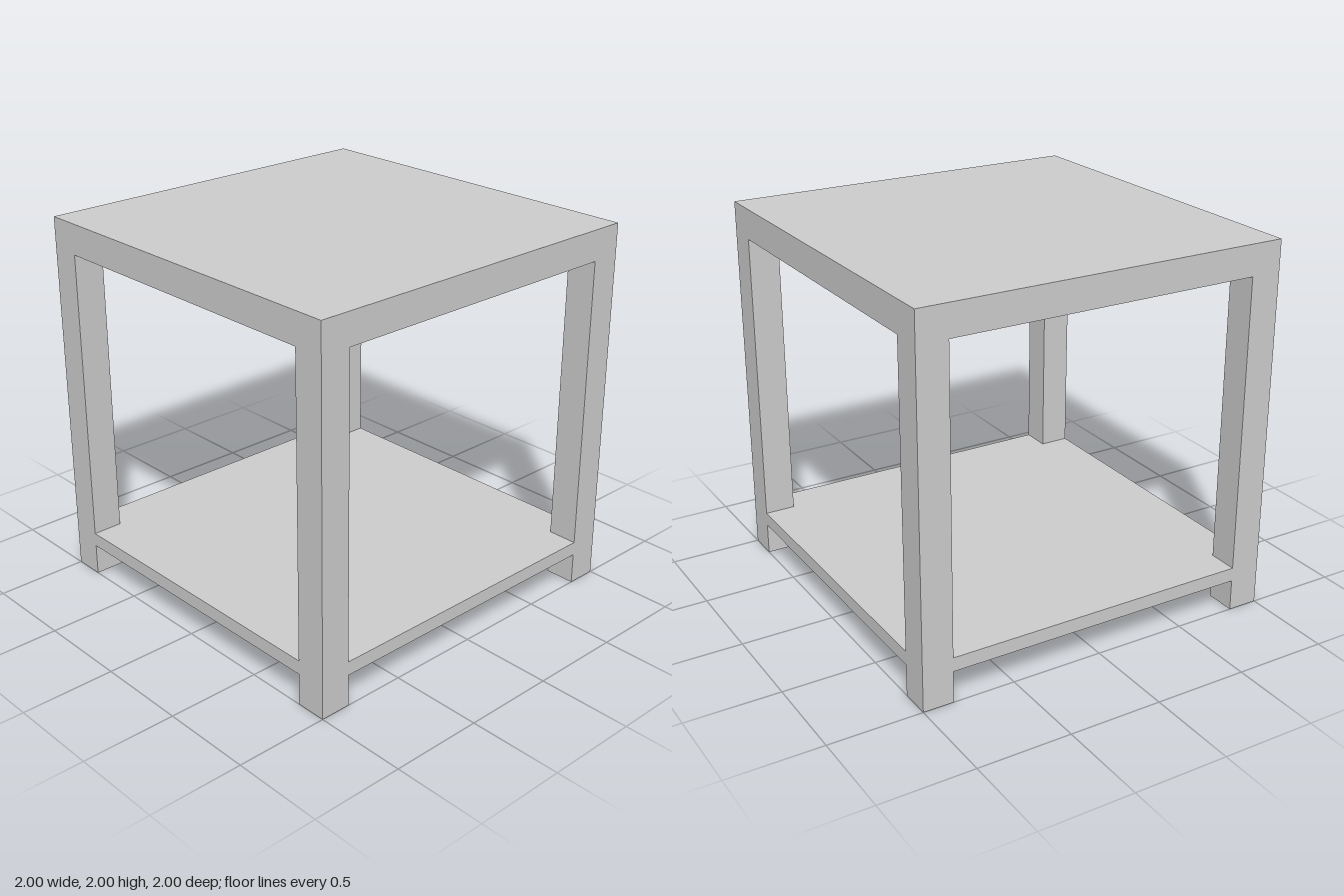
import * as THREE from 'three';

const HALF = 1;        // half of the overall width and depth
const BAR = 0.165;     // leg and apron thickness
const SHEET = 0.006;   // thin boards
const SHELF_LOW = 0.17, SHELF_TOP = 0.245;
const INNER = 2 * (HALF - BAR);

export function createModel() {
  const model = new THREE.Group();
  const material = new THREE.MeshStandardMaterial({ color: 0xcccccc, flatShading: true });

  // Box given by its size, bottom height and centre
  function box(name, parent, w, h, d, x, bottom, z) {
    const mesh = new THREE.Mesh(new THREE.BoxGeometry(w, h, d), material);
    mesh.name = name;
    mesh.position.set(x, bottom + h / 2, z);
    parent.add(mesh);
    return mesh;
  }

  // Four square corner legs
  const c = HALF - BAR / 2;
  for (const x of [-c, c])
    for (const z of [-c, c])
      box(z > 0 ? 'frontLeg' : 'backLeg', model, BAR, 2 - SHEET, BAR, x, 0, z);

  // Thin table top over a deep apron that is open in the middle
  box('tableTop', model, 2, SHEET, 2, 0, 2 - SHEET, 0);

  // Shelf centre panel
  const shelfHeight = SHELF_TOP - SHELF_LOW;
  box('shelfPanel', model, INNER, shelfHeight, INNER, 0, SHELF_LOW, 0);

  // Apron and hollow shelf edge, repeated on the four sides
  ['front', 'left', 'back', 'right'].forEach((side, i) => {
    const group = new THREE.Group();
    group.name = side + 'Side';
    group.rotation.y = i * Math.PI / 2;
    box('apron', group, INNER, BAR - SHEET, BAR, 0, 2 - BAR, c);
    // shelf edge: a top sheet and an outer lip, open underneath
    box('shelfEdgeTop', group, INNER, SHEET, BAR, 0, SHELF_TOP - SHEET, c);
    box('shelfEdgeLip', group, INNER, shelfHeight - SHEET, SHEET, 0, SHELF_LOW, HALF - SHEET / 2);
    model.add(group);
  });

  return model;
}
